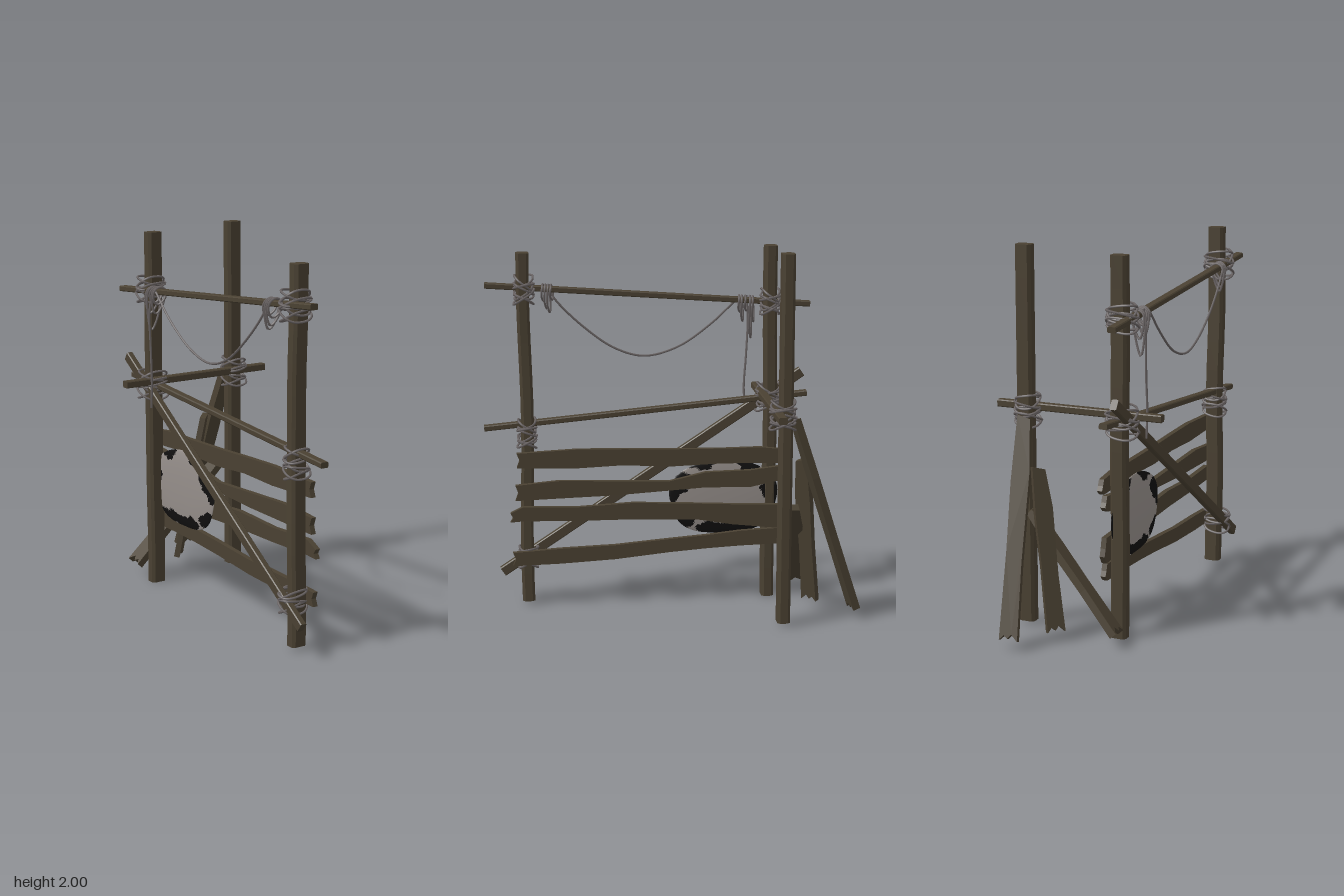
import * as THREE from 'three';

const mat = (name, color) => {
  const m = new THREE.MeshStandardMaterial({ color });
  m.name = name;
  return m;
};
const V = (x, y, z) => new THREE.Vector3(x, y, z);

export function createModel() {
  const model = new THREE.Group();
  model.name = 'woodenRack';
  const wood = mat('wood', 0x4a4132);
  const ropeMat = mat('rope', 0x6a6464);
  const hideLight = mat('hideLight', 0x958e8a);
  const hideDark = mat('hideDark', 0x100f0f);

  const add = (geo, material, name, parent = model) => {
    const mesh = new THREE.Mesh(geo, material);
    mesh.name = name;
    parent.add(mesh);
    return mesh;
  };

  // Rectangle with chamfered corners
  const section = (w, h, c) => new THREE.Shape([
    [-w + c, -h], [w - c, -h], [w, -h + c], [w, h - c],
    [w - c, h], [-w + c, h], [-w, h - c], [-w, -h + c],
  ].map(([x, y]) => new THREE.Vector2(x, y)));

  // Upright posts, gently uneven along their height
  const post = (name, x, z, y0, y1, wobble) => {
    const geo = new THREE.ExtrudeGeometry(section(0.043, 0.034, 0.014),
      { depth: y1 - y0, steps: 12, bevelEnabled: false });
    geo.rotateX(-Math.PI / 2);
    const p = geo.attributes.position;
    for (let i = 0; i < p.count; i++) {
      const y = p.getY(i);
      p.setX(i, p.getX(i) + 0.4 * wobble * Math.sin(y * 7 + 1));
      p.setZ(i, p.getZ(i) + wobble * Math.sin(y * 4.2 + 0.5));
    }
    geo.computeVertexNormals();
    add(geo, wood, name).position.set(x, y0, z);
  };
  post('frontPost', -0.245, 0.773, 0.02, 1.95, 0.007);
  post('rearPost', -0.245, -0.56, 0, 1.97, 0.004);
  post('sidePost', 0.275, -0.56, 0.02, 1.995, 0);

  // Straight beams between two points
  const beam = (name, a, b, w, h) => {
    const geo = new THREE.ExtrudeGeometry(section(w / 2, h / 2, 0.005),
      { depth: a.distanceTo(b), bevelEnabled: false });
    const mesh = add(geo, wood, name);
    mesh.position.copy(a);
    mesh.lookAt(b);
  };
  beam('topRail', V(-0.3, 1.77, 0.98), V(-0.3, 1.64, -0.785), 0.045, 0.03);
  beam('middleRail', V(-0.245, 1.0, 1.0), V(-0.245, 1.155, -0.765), 0.045, 0.03);
  beam('diagonalBrace', V(-0.31, 0.165, 0.915), V(-0.295, 1.265, -0.745), 0.036, 0.055);
  beam('crossBar', V(-0.455, 1.16, -0.515), V(0.455, 1.16, -0.515), 0.045, 0.038);

  // Rough wall planks: [z, bottom, top] along the length
  const planks = [
    [[0.83, 0.79, 0.87], [0.5, 0.78, 0.885], [0.25, 0.79, 0.88], [0, 0.775, 0.872],
      [-0.3, 0.785, 0.868], [-0.5, 0.78, 0.87], [-0.65, 0.775, 0.853]],
    [[0.84, 0.605, 0.69], [0.6, 0.612, 0.71], [0.3, 0.62, 0.7], [0, 0.638, 0.69],
      [-0.2, 0.65, 0.735], [-0.45, 0.645, 0.74], [-0.62, 0.68, 0.76]],
    [[0.87, 0.485, 0.535], [0.8, 0.49, 0.57], [0.5, 0.483, 0.56], [0.2, 0.482, 0.575],
      [-0.15, 0.47, 0.56], [-0.35, 0.435, 0.55], [-0.62, 0.405, 0.54]],
    [[0.86, 0.235, 0.31], [0.6, 0.24, 0.325], [0.3, 0.255, 0.335], [0, 0.285, 0.36],
      [-0.2, 0.3, 0.375], [-0.4, 0.31, 0.395], [-0.62, 0.315, 0.405]],
  ];
  planks.forEach((rows, i) => {
    const [z0, b0, t0] = rows[0], [z1, b1, t1] = rows[rows.length - 1];
    const pts = [
      ...rows.map(([z, b]) => [z, b]), [z1 - 0.025, b1 + (t1 - b1) * 0.3], [z1 - 0.012, b1 + (t1 - b1) * 0.6],
      ...rows.slice().reverse().map(([z, , t]) => [z, t]), [z0 - 0.015, (b0 + t0) / 2],
    ];
    const geo = new THREE.ExtrudeGeometry(
      new THREE.Shape(pts.map(([x, y]) => new THREE.Vector2(x, y))),
      { depth: 0.028, bevelEnabled: false });
    geo.rotateY(-Math.PI / 2);
    add(geo, wood, 'wallPlank' + (i + 1)).position.x = -0.17 - 0.004 * (i % 2);
  });

  // Leaning boards with splintered lower ends
  const leaningBoard = (name, bottom, top, across, width, thick) => {
    const d = top.clone().sub(bottom), L = d.length(), w = width / 2;
    d.normalize();
    across.addScaledVector(d, -across.dot(d)).normalize();
    const pts = [[-w, 0], [-w * 0.3, 0.035], [w * 0.1, 0.012], [w * 0.5, 0.03], [w, 0.005],
      [w * 0.9, L * 0.4], [w, L * 0.7], [w * 0.8, L], [-w * 0.6, L - 0.02], [-w, L * 0.75], [-w * 0.85, L * 0.35]];
    const geo = new THREE.ExtrudeGeometry(
      new THREE.Shape(pts.map(([x, y]) => new THREE.Vector2(x, y))),
      { depth: thick, bevelEnabled: false });
    geo.translate(0, 0, -thick / 2);
    const n = across.clone().cross(d);
    geo.applyMatrix4(new THREE.Matrix4().makeBasis(across, d, n).setPosition(bottom));
    add(geo, wood, name);
  };
  leaningBoard('rearLeaningBoard', V(0.185, 0.05, -0.965), V(0.255, 1.13, -0.61), V(1, 0, -0.2), 0.095, 0.04);
  leaningBoard('innerLeaningBoard', V(0.025, 0.05, -0.755), V(0.155, 0.89, -0.67), V(0.7, 0, -0.7), 0.095, 0.032);
  leaningBoard('slantedBoard', V(-0.295, 0.07, -0.71), V(0.235, 0.645, -0.615), V(0.1, 0, 1), 0.1, 0.04);

  // Rope lashings: tilted loops stacked around each joint
  const tube = (pts, closed, name, parent, segs = 32) => add(
    new THREE.TubeGeometry(new THREE.CatmullRomCurve3(pts, closed), segs, 0.0062, 5, closed),
    ropeMat, name, parent);
  const lashing = (name, x, y, z, rx, rz, spread, tilt, loops = 8) => {
    const g = new THREE.Group();
    g.name = name;
    g.position.set(x, y, z);
    model.add(g);
    for (let i = 0; i < loops; i++) {
      const lift = spread * (i / (loops - 1) - 0.5);
      const lean = (i % 2 ? -1 : 1) * tilt * (0.6 + 0.4 * Math.sin(i * 2.3));
      const grow = 1 + 0.07 * Math.sin(i * 1.7);
      const pts = [];
      for (let k = 0; k < 12; k++) {
        const a = k / 12 * Math.PI * 2, c = Math.cos(a), s = Math.sin(a);
        pts.push(V(
          Math.sign(c) * Math.abs(c) ** 0.8 * rx * grow,
          lift + lean * s + 0.015 * c * Math.cos(i * 1.3),
          Math.sign(s) * Math.abs(s) ** 0.8 * rz * grow));
      }
      tube(pts, true, 'ropeLoop', g);
    }
  };
  lashing('frontTopLashing', -0.258, 1.748, 0.772, 0.078, 0.052, 0.1, 0.045);
  lashing('frontMiddleLashing', -0.242, 0.965, 0.77, 0.064, 0.05, 0.12, 0.035);
  lashing('frontBraceLashing', -0.265, 0.265, 0.772, 0.07, 0.05, 0.08, 0.045, 6);
  lashing('rearTopLashing', -0.258, 1.662, -0.56, 0.078, 0.05, 0.09, 0.04);
  lashing('rearMiddleLashing', -0.255, 1.135, -0.555, 0.08, 0.065, 0.1, 0.045);
  lashing('sidePostLashing', 0.273, 1.15, -0.545, 0.062, 0.065, 0.12, 0.035);

  // Rope slung under the top rail, with hanging loops and a loose tail
  const slack = new THREE.Group();
  slack.name = 'hangingRope';
  model.add(slack);
  tube([V(-0.33, 1.76, 0.65), V(-0.33, 1.68, 0.6), V(-0.33, 1.53, 0.45), V(-0.325, 1.41, 0.28),
    V(-0.325, 1.365, 0.12), V(-0.325, 1.41, -0.06), V(-0.33, 1.53, -0.24), V(-0.33, 1.67, -0.39)],
  false, 'saggingRope', slack, 64);
  const railY = z => 1.698 + z * 0.0737;
  const hangLoop = (z, drop) => {
    const y = railY(z);
    tube([V(-0.3, y + 0.024, z), V(-0.333, y + 0.005, z - 0.005), V(-0.335, y - drop * 0.6, z - 0.012),
      V(-0.315, y - drop, z - 0.008), V(-0.28, y - drop * 0.6, z + 0.006), V(-0.268, y + 0.005, z + 0.004)],
    true, 'hangingLoop', slack);
  };
  [[0.67, 0.07], [0.655, 0.11], [0.64, 0.13], [0.625, 0.06], [-0.395, 0.07], [-0.41, 0.12],
    [-0.43, 0.06], [-0.455, 0.21], [-0.47, 0.12]].forEach(([z, d]) => hangLoop(z, d));
  tube([V(-0.32, 1.69, -0.44), V(-0.335, 1.55, -0.45), V(-0.335, 1.35, -0.442), V(-0.337, 1.18, -0.432),
    V(-0.337, 1.03, -0.44)], false, 'ropeTail', slack);

  // Spotted hide behind the planks: a thin rounded pad, split by patch colour
  const pad = new THREE.SphereGeometry(1, 96, 56).rotateZ(Math.PI / 2);
  const pp = pad.attributes.position, pn = pad.attributes.normal;
  for (let i = 0; i < pp.count; i++) {
    const y = pp.getY(i), z = pp.getZ(i), x = pp.getX(i);
    const a = Math.atan2(y, z), r = Math.hypot(y, z);
    const edge = 1 + 0.05 * Math.sin(2 * a) ** 2 + 0.02 * Math.sin(5 * a);
    pp.setXYZ(i, -0.217 + 0.018 * x, 0.585 + 0.212 * r * edge * Math.sin(a), -0.305 + 0.3 * r * edge * Math.cos(a));
    const n = V(x / 0.018, y / 0.212, z / 0.3).normalize();
    pn.setXYZ(i, n.x, n.y, n.z);
  }
  // Dark patches as [z, y, z radius, y radius]
  const spots = [[-0.03, 0.67, 0.09, 0.09], [-0.02, 0.43, 0.1, 0.09], [-0.17, 0.79, 0.13, 0.045],
    [-0.25, 0.395, 0.11, 0.05], [-0.44, 0.4, 0.1, 0.045], [-0.58, 0.62, 0.06, 0.08], [-0.45, 0.77, 0.08, 0.04]];
  const isDark = (y, z) => spots.some(([cz, cy, rz, ry]) => {
    const a = Math.atan2(y - cy, z - cz);
    return Math.hypot((z - cz) / rz, (y - cy) / ry) < 1 + 0.18 * Math.sin(3 * a + cz * 30) + 0.1 * Math.sin(7 * a);
  });
  const faces = [[], []], idx = pad.index.array;
  for (let i = 0; i < idx.length; i += 3) {
    const t = [idx[i], idx[i + 1], idx[i + 2]];
    const mean = f => (f(t[0]) + f(t[1]) + f(t[2])) / 3;
    faces[isDark(mean(k => pp.getY(k)), mean(k => pp.getZ(k))) ? 1 : 0].push(...t);
  }
  pad.clearGroups();
  pad.setIndex([...faces[0], ...faces[1]]);
  pad.addGroup(0, faces[0].length, 0);
  pad.addGroup(faces[0].length, faces[1].length, 1);
  add(pad, [hideLight, hideDark], 'spottedHide');

  return model;
}
